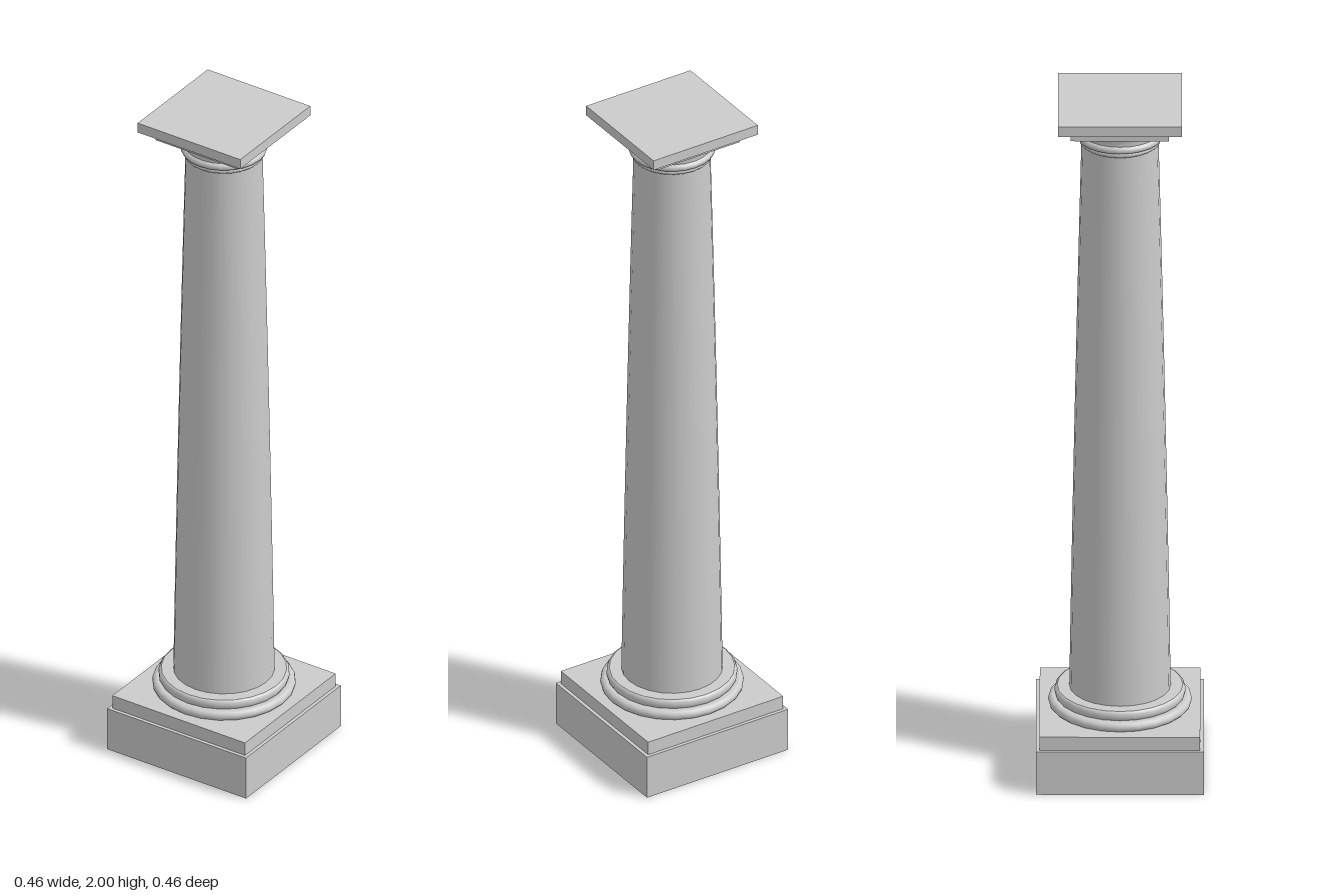
import * as THREE from 'three';

const SIDES = 24;
const material = new THREE.MeshStandardMaterial({ color: 0xcccccc, side: THREE.DoubleSide });

function addMesh(parent, name, geometry) {
  const mesh = new THREE.Mesh(geometry, material);
  mesh.name = name;
  parent.add(mesh);
}

const toPoints = (profile) => profile.map(([r, y]) => new THREE.Vector2(r, y));

// Smooth round shell turned from [radius, height] pairs, bottom to top
function addRound(parent, name, profile) {
  addMesh(parent, name, new THREE.LatheGeometry(toPoints(profile), SIDES));
}

// Flat-sided square shell from [half width, height] pairs, bottom to top
function addSquare(parent, name, profile) {
  const points = toPoints(profile.map(([w, y]) => [w * Math.SQRT2, y]));
  const geometry = new THREE.LatheGeometry(points, 4, Math.PI / 4).toNonIndexed();
  geometry.computeVertexNormals();
  addMesh(parent, name, geometry);
}

// Flat square plate with a round opening
function addPlate(parent, name, half, hole, y, facing) {
  const shape = new THREE.Shape(
    toPoints([[-half, -half], [half, -half], [half, half], [-half, half]]));
  const ring = [];
  for (let i = 0; i < SIDES; i++) {
    const a = -i / SIDES * Math.PI * 2;
    ring.push(new THREE.Vector2(hole * Math.cos(a), hole * Math.sin(a)));
  }
  shape.holes.push(new THREE.Path(ring));
  addMesh(parent, name,
    new THREE.ShapeGeometry(shape).rotateX(-facing * Math.PI / 2).translate(0, y, 0));
}

// Rounded moulding: half-ellipse bulge between two heights
function bulge(radius, depth, y0, y1, steps = 6) {
  return Array.from({ length: steps + 1 }, (_, i) => {
    const a = (i / steps - 0.5) * Math.PI;
    return [radius - depth + depth * Math.cos(a), (y0 + y1) / 2 + (y1 - y0) / 2 * Math.sin(a)];
  });
}

export function createModel() {
  const column = new THREE.Group();
  column.name = 'column';

  // Stepped plinth, hollow and open underneath
  const base = new THREE.Group();
  base.name = 'base';
  column.add(base);
  addSquare(base, 'plinth', [[0.23, 0], [0.23, 0.13], [0.22, 0.13], [0.22, 0.17]]);
  addPlate(base, 'plinthTop', 0.22, 0.185, 0.17, 1);

  // Round base mouldings
  addRound(base, 'lowerTorus', bulge(0.197, 0.012, 0.17, 0.197));
  addRound(base, 'baseLedge', [[0.185, 0.197], [0.172, 0.197]]);
  addRound(base, 'upperTorus', bulge(0.18, 0.008, 0.197, 0.225));
  addRound(base, 'baseTop', [[0.172, 0.225], [0.139, 0.225]]);

  // Tapered shaft with a slight swell
  const shaft = [];
  for (let i = 0; i <= 8; i++) {
    const t = i / 8;
    shaft.push([0.139 - 0.033 * t + 0.008 * t * (1 - t), 0.225 + 1.65 * t]);
  }
  addRound(column, 'shaft', shaft);

  // Neck ring and flared neck
  const capital = new THREE.Group();
  capital.name = 'capital';
  column.add(capital);
  addRound(capital, 'neckUnderside', [[0.106, 1.875], [0.11, 1.878]]);
  addRound(capital, 'lowerNeckRing', bulge(0.112, 0.004, 1.877, 1.89, 4));
  addRound(capital, 'upperNeckRing', bulge(0.12, 0.009, 1.889, 1.91, 4));
  addRound(capital, 'neck', [[0.111, 1.909], [0.111, 1.92], [0.114, 1.93], [0.118, 1.94]]);

  // Stepped square abacus
  addPlate(capital, 'abacusUnderside', 0.135, 0.117, 1.94, -1);
  addSquare(capital, 'abacus',
    [[0.135, 1.94], [0.135, 1.97], [0.17, 1.97], [0.17, 2], [0, 2]]);

  return column;
}
